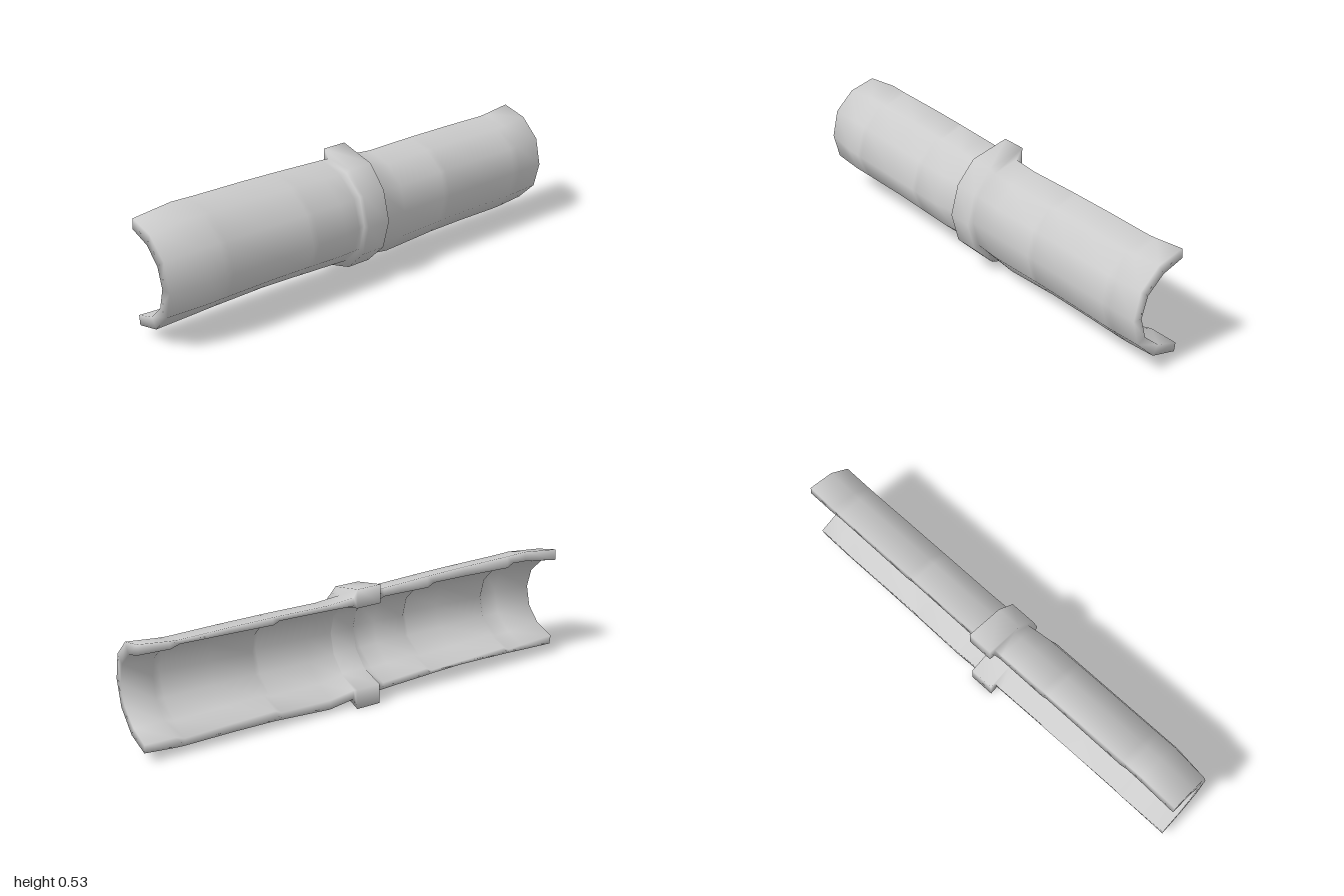
import * as THREE from 'three';

// Half-round outlines in x, y, all running from the top rim to the bottom rim
const pipeOuter = [[-0.115, 0.5], [0, 0.47], [0.085, 0.39], [0.113, 0.272], [0.085, 0.16], [0, 0.075], [-0.115, 0.046]];
const pipeInner = [[-0.12, 0.453], [-0.026, 0.421], [0.039, 0.356], [0.063, 0.271], [0.04, 0.184], [-0.025, 0.12], [-0.12, 0.09]];
const ringOuter = [[-0.145, 0.535], [0.025, 0.493], [0.107, 0.4], [0.142, 0.27], [0.107, 0.14], [0.013, 0.047], [-0.145, 0.003]];
const ringInner = [[-0.145, 0.453], ...pipeInner.slice(1, 6), [-0.145, 0.09]];

// Joins thick half-round sections, listed from front to back, into a closed smooth shell
function loft(sections) {
  const positions = [], index = [];
  const n = sections[0].outer.length, size = 2 * n;
  const quad = (a, b, c, d) => index.push(a, b, c, a, c, d);
  for (const { z, outer, inner } of sections) {
    for (const [x, y] of [...outer, ...[...inner].reverse()]) positions.push(x, y, z);
  }
  const last = (sections.length - 1) * size;
  for (let s = 0; s < last; s += size) {
    for (let k = 0; k < size; k++) {
      const next = (k + 1) % size;
      quad(s + k, s + next, s + size + next, s + size + k);
    }
  }
  for (let k = 0; k < n - 1; k++) {
    const i = size - 1 - k;
    quad(k, i, i - 1, k + 1);
    quad(last + k, last + k + 1, last + i - 1, last + i);
  }
  const geometry = new THREE.BufferGeometry();
  geometry.setAttribute('position', new THREE.Float32BufferAttribute(positions, 3));
  geometry.setIndex(index);
  geometry.computeVertexNormals();
  return geometry;
}

// Stations along the pipe: z, lift of top rim, lift of bottom rim, outer bulge, inner hollow.
// The hollow drops back to 0 at each inner rib.
const front = [
  [1, 0, 0.002, 0, 0],
  [0.83, 0.02, 0.008, 0.026, 0.02],
  [0.76, 0.018, 0.011, 0.026, 0.03],
  [0.73, 0.017, 0.012, 0.026, 0],
  [0.5, 0.015, 0.017, 0.026, 0.018],
  [0.34, 0.011, 0.012, 0.026, 0.03],
  [0.31, 0.01, 0.01, 0.026, 0],
  [0.17, 0.005, 0.004, 0.026, 0.016],
  [0.09, 0.002, 0, 0.01, 0.024],
  [0.055, 0, -0.003, 0, 0],
];
const back = [
  [-0.055, -0.01, -0.01, 0, 0.004],
  [-0.17, -0.02, -0.028, 0, 0.012],
  [-0.4, -0.016, -0.014, 0, 0.025],
  [-0.43, -0.016, -0.012, 0, 0],
  [-0.62, -0.016, -0.01, 0, 0.012],
  [-0.83, -0.019, -0.012, 0, 0.024],
  [-0.87, -0.016, -0.01, 0, 0],
  [-1, 0, 0.002, 0, 0.01],
];

// Outward direction of the bulge and hollow at each outline point
const bulgeX = [0, 0, 0.5, 1, 0.5, 0, 0];
const hollowX = [0, 0, 0.8, 1, 0.8, 0, 0];
const hollowY = [0.5, 0.4, 0.4, 0, -0.4, -0.4, -0.5];

function pipeSection([z, top, bottom, bulge, hollow]) {
  // Lift grows from the middle height towards each rim
  const lift = (y, up, down) => {
    const t = (y - 0.272) / 0.228;
    return t > 0 ? t * up : -t * down;
  };
  return {
    z,
    outer: pipeOuter.map(([x, y], k) => [x + bulgeX[k] * bulge, y + lift(y, top, bottom)]),
    inner: pipeInner.map(([x, y], k) => [
      x + hollowX[k] * hollow,
      y + hollowY[k] * hollow + lift(y, Math.max(top, 0), Math.min(bottom, 0)),
    ]),
  };
}

export function createModel() {
  const model = new THREE.Group();
  model.name = 'halfPipe';

  // Wavy trough with a collar growing out of its middle
  const collar = [0.055, -0.055].map((z) => ({ z, outer: ringOuter, inner: ringInner }));
  const sections = [...front.map(pipeSection), ...collar, ...back.map(pipeSection)];
  const trough = new THREE.Mesh(loft(sections), new THREE.MeshStandardMaterial({ color: 0xcccccc }));
  trough.name = 'collaredTrough';

  model.add(trough);
  return model;
}
